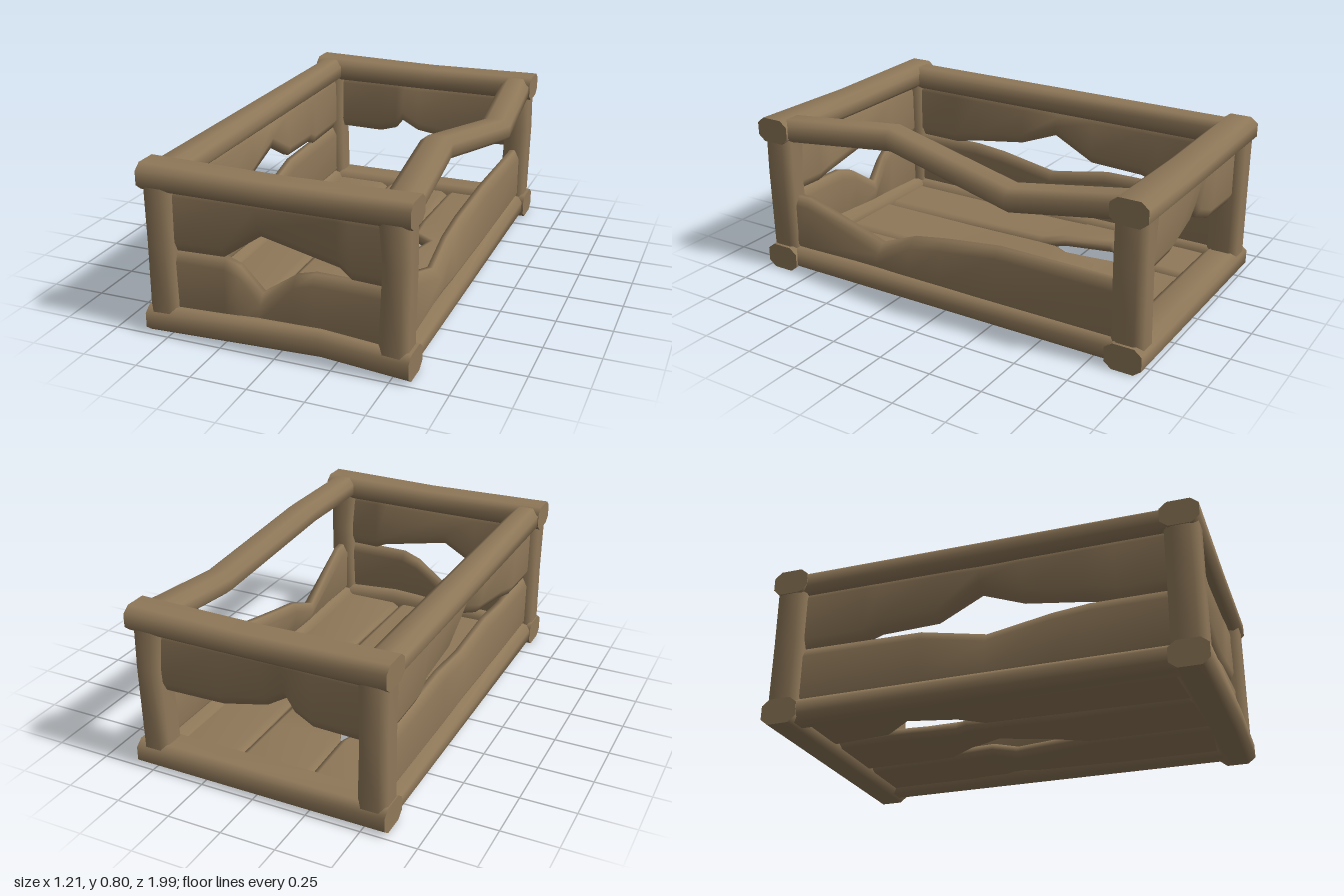
import * as THREE from 'three';

const wood = new THREE.MeshStandardMaterial({ color: 0x8f7859 });
wood.name = 'weathered wood';

// Local axes of a timber (length, width, thickness) placed along the world axes.
const V = (x, y, z) => new THREE.Vector3(x, y, z);
const basis = (a, b, c) => new THREE.Matrix4().makeBasis(a, b, c);
const ACROSS = basis(V(1, 0, 0), V(0, 1, 0), V(0, 0, 1));   // along x, wide in y
const ALONG = basis(V(0, 0, 1), V(0, 1, 0), V(-1, 0, 0));   // along z, wide in y
const UPRIGHT = basis(V(0, 1, 0), V(1, 0, 0), V(0, 0, -1)); // along y, wide in x
const FLOOR = basis(V(0, 0, 1), V(1, 0, 0), V(0, 1, 0));    // along z, wide in x

// Lofts a chamfered bar through stations [u, v0, v1, w at v0, w at v1].
function timber(name, stations, thick, chamferV, chamferW, axes) {
  const pos = [], index = [], h = thick / 2;
  const rings = stations.map(([u, v0, v1, w0, w1 = w0]) => {
    const c = Math.min(chamferV, (v1 - v0) * 0.4), d = chamferW;
    return [[v1, h - d, -1], [v1 - c, h, 0], [v0 + c, h, 0], [v0, h - d, 0],
      [v0, d - h, 0], [v0 + c, -h, 0], [v1 - c, -h, 0], [v1, d - h, 0]]
      .map(([v, w]) => [u, v, w + THREE.MathUtils.lerp(w0, w1, (v - v0) / (v1 - v0))]);
  });
  rings.forEach((ring, k) => {
    ring.forEach((p, i) => {
      pos.push(...p);
      if (k === rings.length - 1) return;
      const a = k * 8 + i, b = k * 8 + (i + 1) % 8;
      index.push(a, b, a + 8, b, b + 8, a + 8);
    });
  });
  // End caps with their own corners, so the ends stay sharp
  [rings[0], rings[rings.length - 1]].forEach((ring, end) => {
    const s = pos.length / 3;
    ring.forEach((p) => pos.push(...p));
    for (let i = 1; i < 7; i++) {
      if (end) index.push(s, s + i, s + i + 1);
      else index.push(s, s + i + 1, s + i);
    }
  });
  const geo = new THREE.BufferGeometry();
  geo.setAttribute('position', new THREE.Float32BufferAttribute(pos, 3));
  geo.setIndex(index);
  geo.applyMatrix4(axes);
  geo.computeVertexNormals();
  const mesh = new THREE.Mesh(geo, wood);
  mesh.name = name;
  return mesh;
}

export function createModel() {
  const crate = new THREE.Group();
  crate.name = 'brokenCrate';
  const beam = (name, st, thick, axes) => crate.add(timber(name, st, thick, 0.028, 0.035, axes));
  const board = (name, st, axes) => crate.add(timber(name, st, 0.07, 0.045, 0.022, axes));
  const plank = (name, st) => crate.add(timber(name, st, 0.06, 0.03, 0.018, FLOOR));

  // End beams and corner posts
  for (const [end, s] of [['front', 1], ['back', -1]]) {
    const z = 0.91 * s, lift = s > 0 ? 0.03 : 0;
    beam(end + 'TopBeam', [[-0.605, 0.648, 0.765, z], [0.02, 0.646, 0.754, z], [0.58, 0.648, 0.763, z]], 0.17, ACROSS);
    beam(end + 'BottomBeam', [[-0.605, 0, 0.12, z], [0.19, lift, 0.12 + lift, z], [0.58, 0, 0.12, z]], 0.17, ACROSS);
    beam(end + 'RightPost', [[0.08, -0.6, -0.465, -z], [0.4, -0.597, -0.472, -z], [0.69, -0.6, -0.468, -z]], 0.15, UPRIGHT);
    beam(end + 'LeftPost', [[0.08, 0.435, 0.565, -z], [0.48, 0.452, 0.572, -z], [0.69, 0.433, 0.568, -z]], 0.15, UPRIGHT);
  }

  // Long side beams; the left top one is bent
  beam('rightTopBeam', [[-0.86, 0.645, 0.757, 0.532], [0.86, 0.645, 0.757, 0.532]], 0.14, ALONG);
  beam('leftTopBeam', [[-0.86, 0.65, 0.758, -0.5], [-0.36, 0.58, 0.688, -0.53],
    [0.3, 0.695, 0.8, -0.45], [0.86, 0.65, 0.76, -0.5]], 0.145, ALONG);
  beam('rightBottomBeam', [[-0.86, 0.01, 0.12, 0.532], [0.86, 0.01, 0.12, 0.532]], 0.14, ALONG);
  beam('leftBottomBeam', [[-0.86, 0.01, 0.12, -0.5], [0.86, 0.01, 0.12, -0.5]], 0.14, ALONG);

  // End boards with splintered edges
  board('frontUpperBoard', [[-0.5, 0.377, 0.67, 0.91], [-0.26, 0.377, 0.67, 0.895, 0.91], [-0.1, 0.485, 0.67, 0.87, 0.91],
    [0.25, 0.41, 0.67, 0.88, 0.91], [0.31, 0.377, 0.67, 0.9, 0.91], [0.48, 0.375, 0.67, 0.91]], ACROSS);
  board('frontLowerBoard', [[-0.5, 0.08, 0.377, 0.91], [-0.25, 0.08, 0.375, 0.91, 0.9], [-0.19, 0.08, 0.345, 0.91, 0.89],
    [-0.095, 0.08, 0.235, 0.91, 0.88], [0.06, 0.08, 0.345, 0.91, 0.89], [0.15, 0.08, 0.373, 0.91, 0.9], [0.48, 0.08, 0.373, 0.91]], ACROSS);
  board('backUpperBoard', [[-0.5, 0.377, 0.67, -0.91], [-0.25, 0.377, 0.67, -0.9, -0.91], [-0.155, 0.41, 0.67, -0.88, -0.91],
    [-0.115, 0.46, 0.67, -0.87, -0.91], [-0.03, 0.41, 0.67, -0.88, -0.91], [0.17, 0.375, 0.67, -0.9, -0.91], [0.48, 0.375, 0.67, -0.91]], ACROSS);

  // Side boards with splintered edges
  board('rightUpperBoard', [[-0.86, 0.375, 0.67, 0.532], [-0.55, 0.375, 0.67, 0.525, 0.532], [-0.47, 0.41, 0.67, 0.515, 0.532],
    [-0.2, 0.425, 0.67, 0.505, 0.532], [0, 0.535, 0.67, 0.495, 0.532], [0.2, 0.455, 0.67, 0.505, 0.532],
    [0.48, 0.41, 0.67, 0.515, 0.532], [0.62, 0.378, 0.67, 0.525, 0.532], [0.86, 0.378, 0.67, 0.532]], ALONG);
  board('rightLowerBoard', [[-0.86, 0.09, 0.375, 0.532], [-0.27, 0.09, 0.375, 0.532, 0.52], [0.03, 0.09, 0.325, 0.532, 0.5],
    [0.33, 0.09, 0.37, 0.532, 0.515], [0.5, 0.09, 0.378, 0.532], [0.86, 0.09, 0.378, 0.532]], ALONG);
  board('leftLowerBoard', [[-0.86, 0.09, 0.373, -0.505], [-0.27, 0.09, 0.373, -0.505, -0.495], [0.03, 0.09, 0.325, -0.505, -0.47],
    [0.2, 0.09, 0.295, -0.505, -0.465], [0.38, 0.09, 0.222, -0.505, -0.46], [0.77, 0.09, 0.375, -0.505, -0.5], [0.86, 0.09, 0.377, -0.505]], ALONG);

  // Floor planks split apart at two holes
  plank('rightFloorPlank', [[-0.88, -0.53, -0.19, 0.06], [-0.56, -0.53, -0.192, 0.06, 0.075], [-0.43, -0.53, -0.268, 0.06, 0.1],
    [-0.2, -0.53, -0.23, 0.06, 0.09], [-0.08, -0.53, -0.192, 0.06, 0.07], [0.88, -0.53, -0.19, 0.06]]);
  plank('middleFloorPlank', [[-0.88, -0.19, 0.155, 0.06], [-0.56, -0.188, 0.155, 0.065, 0.06], [-0.47, -0.15, 0.155, 0.08, 0.06],
    [-0.38, -0.13, 0.152, 0.085, 0.06], [-0.27, -0.11, 0.1, 0.09, 0.075], [-0.2, -0.16, 0.078, 0.08], [-0.1, -0.185, 0.038, 0.065, 0.085],
    [0.15, -0.19, 0.11, 0.06, 0.075], [0.3, -0.19, 0.15, 0.06], [0.88, -0.19, 0.145, 0.06]]);
  plank('leftFloorPlank', [[-0.88, 0.158, 0.5, 0.06], [-0.38, 0.158, 0.5, 0.07, 0.06], [-0.2, 0.18, 0.5, 0.085, 0.06],
    [-0.11, 0.285, 0.5, 0.1, 0.06], [0.3, 0.154, 0.5, 0.07, 0.06], [0.88, 0.15, 0.5, 0.06]]);

  return crate;
}
